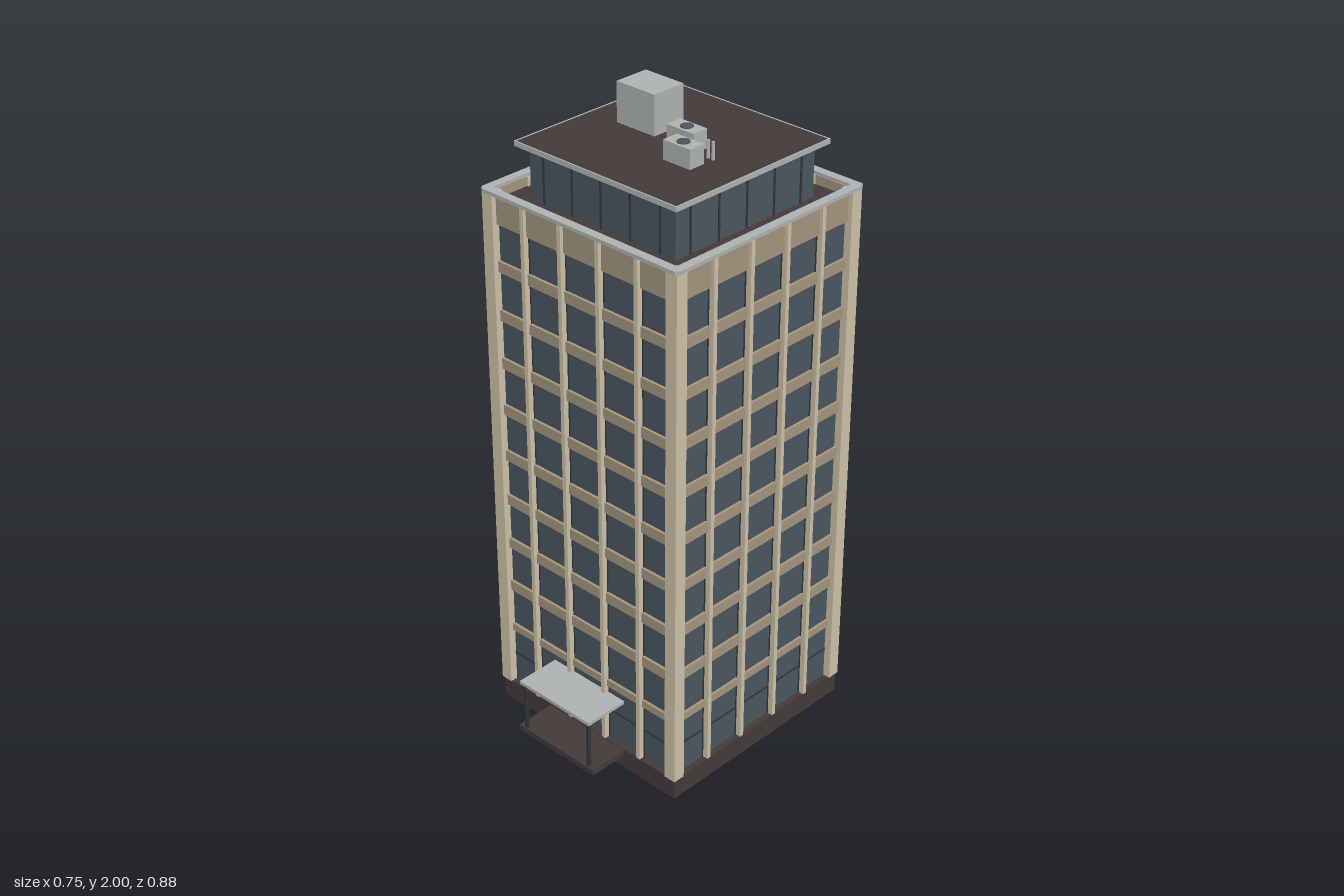
import * as THREE from 'three';

const mat = (name, color) => {
  const m = new THREE.MeshStandardMaterial({ color });
  m.name = name;
  return m;
};

export function createModel() {
  const stone = mat('pale stone', 0xcdc0a7);
  const panel = mat('tan panel', 0xa3947d);
  const glass = mat('blue grey glass', 0x4a565f);
  const dark = mat('dark brown', 0x423a39);
  const frame = mat('dark frame', 0x30363b);
  const grey = mat('light grey metal', 0xadb2b1);

  const model = new THREE.Group();
  model.name = 'officeTower';

  // Box given by its low and high corners
  const box = (parent, name, material, [x0, y0, z0], [x1, y1, z1]) => {
    const mesh = new THREE.Mesh(new THREE.BoxGeometry(x1 - x0, y1 - y0, z1 - z0), material);
    mesh.position.set((x0 + x1) / 2, (y0 + y1) / 2, (z0 + z1) / 2);
    mesh.name = name;
    parent.add(mesh);
    return mesh;
  };
  const cylinder = (parent, name, material, r, h, x, y, z) => {
    const mesh = new THREE.Mesh(new THREE.CylinderGeometry(r, r, h, 20), material);
    mesh.position.set(x, y + h / 2, z);
    mesh.name = name;
    parent.add(mesh);
  };
  // Square ring lying flat, with clipped corners and a square hole
  const ring = (parent, name, material, outer, inner, clip, y, h) => {
    const o = outer, c = outer - clip, i = inner;
    const pts = [[c, -o], [o, -c], [o, c], [c, o], [-c, o], [-o, c], [-o, -c], [-c, -o]];
    const shape = new THREE.Shape(pts.map(p => new THREE.Vector2(...p)));
    shape.holes.push(new THREE.Path([[-i, -i], [-i, i], [i, i], [i, -i]].map(p => new THREE.Vector2(...p))));
    const geo = new THREE.ExtrudeGeometry(shape, { depth: h, bevelEnabled: false });
    geo.rotateX(-Math.PI / 2);
    const mesh = new THREE.Mesh(geo, material);
    mesh.position.y = y;
    mesh.name = name;
    parent.add(mesh);
  };

  // Tower, centred behind the entrance
  const tower = new THREE.Group();
  tower.name = 'tower';
  tower.position.z = -0.063;
  model.add(tower);

  box(tower, 'plinth', dark, [-0.366, 0, -0.366], [0.366, 0.067, 0.366]);
  box(tower, 'glassCore', glass, [-0.347, 0.06, -0.347], [0.347, 1.695, 0.347]);
  box(tower, 'roofDeck', dark, [-0.347, 1.695, -0.347], [0.347, 1.705, 0.347]);

  // Corner columns
  for (const sx of [-1, 1]) for (const sz of [-1, 1]) {
    const column = box(tower, 'cornerColumn', stone, [-0.02, 0.067, -0.02], [0.02, 1.733, 0.02]);
    column.position.x = sx * 0.351;
    column.position.z = sz * 0.351;
  }

  // Four matching facades
  const bay = 0.145;
  for (let side = 0; side < 4; side++) {
    const facade = new THREE.Group();
    facade.name = 'facade';
    facade.rotation.y = side * Math.PI / 2;
    tower.add(facade);

    box(facade, 'topPanel', panel, [-0.333, 1.637, 0.345], [0.333, 1.733, 0.356]);
    for (let floor = 0; floor < 9; floor++) {
      const y = 0.27 + floor * 0.1545, half = floor ? 0.017 : 0.012;
      box(facade, 'spandrel', panel, [-0.333, y - half, 0.34], [0.333, y + half, 0.356]);
    }
    box(facade, 'groundTransom', frame, [-0.333, 0.167, 0.34], [0.333, 0.172, 0.35]);
    for (let i = -1.5; i <= 1.5; i++) {
      const x = i * bay;
      box(facade, 'pier', stone, [x - 0.007, 0.067, 0.34], [x + 0.007, 1.733, 0.367]);
      box(facade, 'pierFrame', frame, [x - 0.01, 0.067, 0.34], [x + 0.01, 1.637, 0.35]);
    }
  }
  ring(tower, 'parapetCap', grey, 0.376, 0.348, 0.01, 1.731, 0.011);

  // Penthouse with its overhanging roof
  box(tower, 'penthouseWalls', glass, [-0.275, 1.7, -0.275], [0.275, 1.864, 0.275]);
  for (let side = 0; side < 4; side++) {
    const wall = new THREE.Group();
    wall.name = 'penthouseFrames';
    wall.rotation.y = side * Math.PI / 2;
    tower.add(wall);
    for (let i = -2; i <= 2; i++) {
      box(wall, 'penthouseMullion', frame, [i * 0.11 - 0.003, 1.705, 0.27], [i * 0.11 + 0.003, 1.864, 0.278]);
    }
  }
  box(tower, 'penthouseRoof', dark, [-0.301, 1.865, -0.301], [0.301, 1.878, 0.301]);
  ring(tower, 'penthouseRoofEdge', grey, 0.305, 0.3005, 0.001, 1.864, 0.015);

  // Rooftop equipment
  const equipment = new THREE.Group();
  equipment.name = 'rooftopEquipment';
  model.add(equipment);
  box(equipment, 'liftHousing', grey, [-0.195, 1.876, -0.16], [-0.051, 2, -0.045]);
  for (const [x, z] of [[0.057, -0.06], [0.122, 0.022]]) {
    box(equipment, 'coolingUnit', grey, [x - 0.05, 1.876, z - 0.027], [x + 0.049, 1.936, z + 0.027]);
    cylinder(equipment, 'coolingFan', glass, 0.019, 0.005, x, 1.934, z);
  }
  for (const x of [0.152, 0.17]) cylinder(equipment, 'ventPipe', grey, 0.005, 0.055, x, 1.876, -0.042);

  // Entrance platform, canopy and posts
  const entrance = new THREE.Group();
  entrance.name = 'entrance';
  model.add(entrance);
  box(entrance, 'platform', dark, [-0.158, 0.045, 0.29], [0.158, 0.064, 0.434]);
  box(entrance, 'canopy', grey, [-0.147, 0.225, 0.29], [0.147, 0.236, 0.437]);
  for (const x of [-0.133, 0.133]) {
    box(entrance, 'canopyPost', frame, [x - 0.005, 0.064, 0.42], [x + 0.005, 0.225, 0.43]);
  }

  return model;
}
